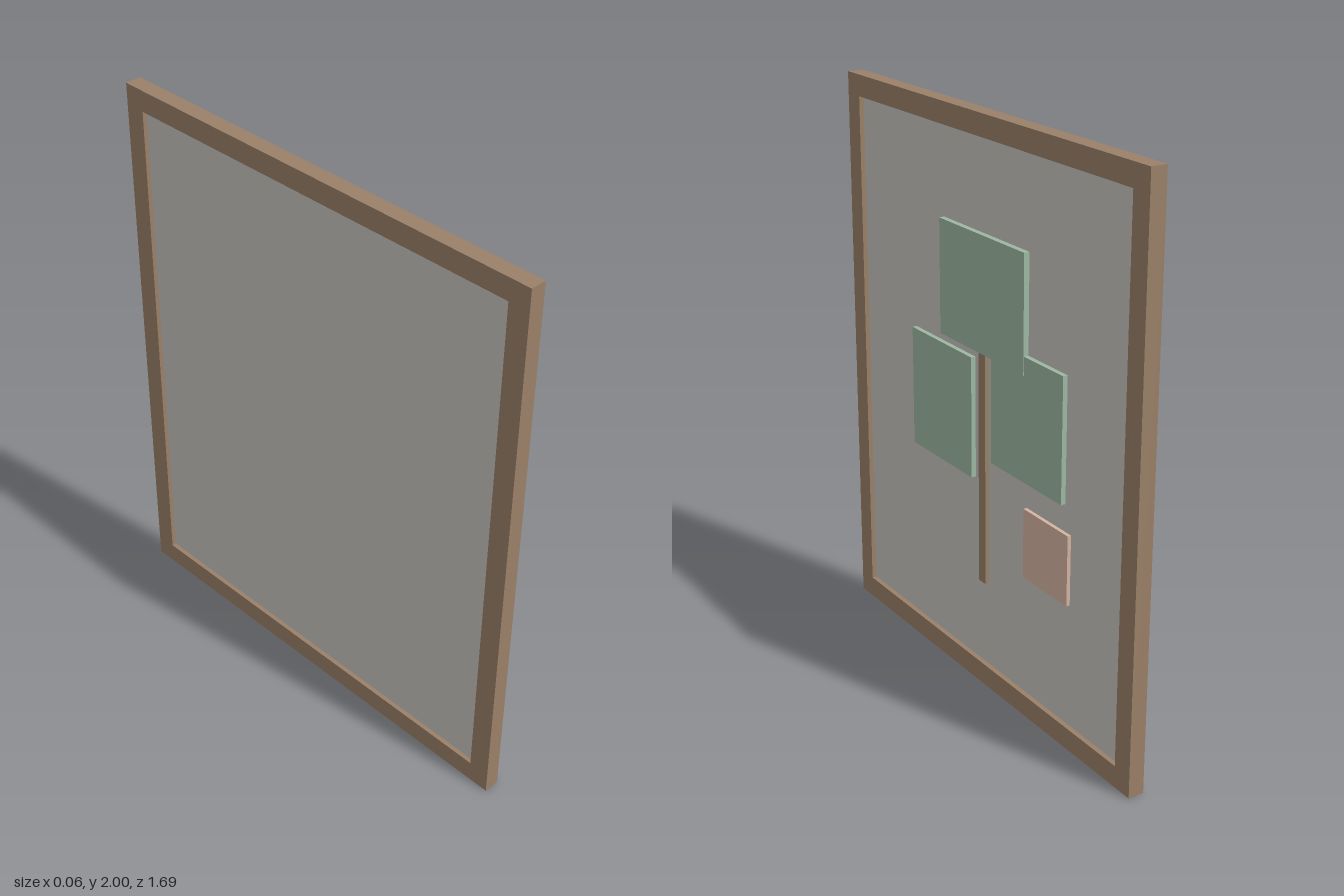
import * as THREE from 'three';

const material = (name, color) => {
  const m = new THREE.MeshStandardMaterial({ color });
  m.name = name;
  return m;
};

export function createModel() {
  const wood = material('brown wood', 0x9a8068);
  const canvas = material('warm grey canvas', 0xc8c5c0);
  const leaf = material('sage green', 0x9cb8a2);
  const clay = material('pale terracotta', 0xd4b4a2);

  const model = new THREE.Group();
  model.name = 'framedPicture';

  // The picture is laid out flat in local x/y, then turned to face +x
  const picture = new THREE.Group();
  picture.name = 'picture';
  picture.rotation.y = Math.PI / 2;
  model.add(picture);

  // Box given by its left, right, bottom, top, back and front limits
  const panel = (name, mat, x0, x1, y0, y1, z0, z1) => {
    const mesh = new THREE.Mesh(new THREE.BoxGeometry(x1 - x0, y1 - y0, z1 - z0), mat);
    mesh.position.set((x0 + x1) / 2, (y0 + y1) / 2, (z0 + z1) / 2);
    mesh.name = name;
    picture.add(mesh);
  };

  // Frame: rectangle with a rectangular opening
  const outline = new THREE.Shape([[-0.845, 0], [0.845, 0], [0.845, 2], [-0.845, 2]]
    .map(([x, y]) => new THREE.Vector2(x, y)));
  outline.holes.push(new THREE.Path([[-0.77, 0.077], [-0.77, 1.925], [0.77, 1.925], [0.77, 0.077]]
    .map(([x, y]) => new THREE.Vector2(x, y))));
  const frame = new THREE.Mesh(
    new THREE.ExtrudeGeometry(outline, { depth: 0.057, bevelEnabled: false }), wood);
  frame.position.z = -0.0295;
  frame.name = 'frame';
  picture.add(frame);

  // Backing sheet, recessed on both faces
  panel('canvas', canvas, -0.77, 0.77, 0.077, 1.925, -0.014, 0.01);

  // Raised tree and block
  panel('trunk', wood, -0.02, 0.02, 0.39, 1.22, 0.01, 0.024);
  panel('upperFoliage', leaf, -0.247, 0.247, 1.217, 1.615, 0.01, 0.0295);
  panel('sideFoliageLow', leaf, -0.435, -0.06, 0.757, 1.185, 0.01, 0.027);
  panel('sideFoliageHigh', leaf, 0.06, 0.457, 0.853, 1.28, 0.01, 0.027);
  panel('smallBlock', clay, 0.245, 0.49, 0.513, 0.758, 0.01, 0.023);

  return model;
}
